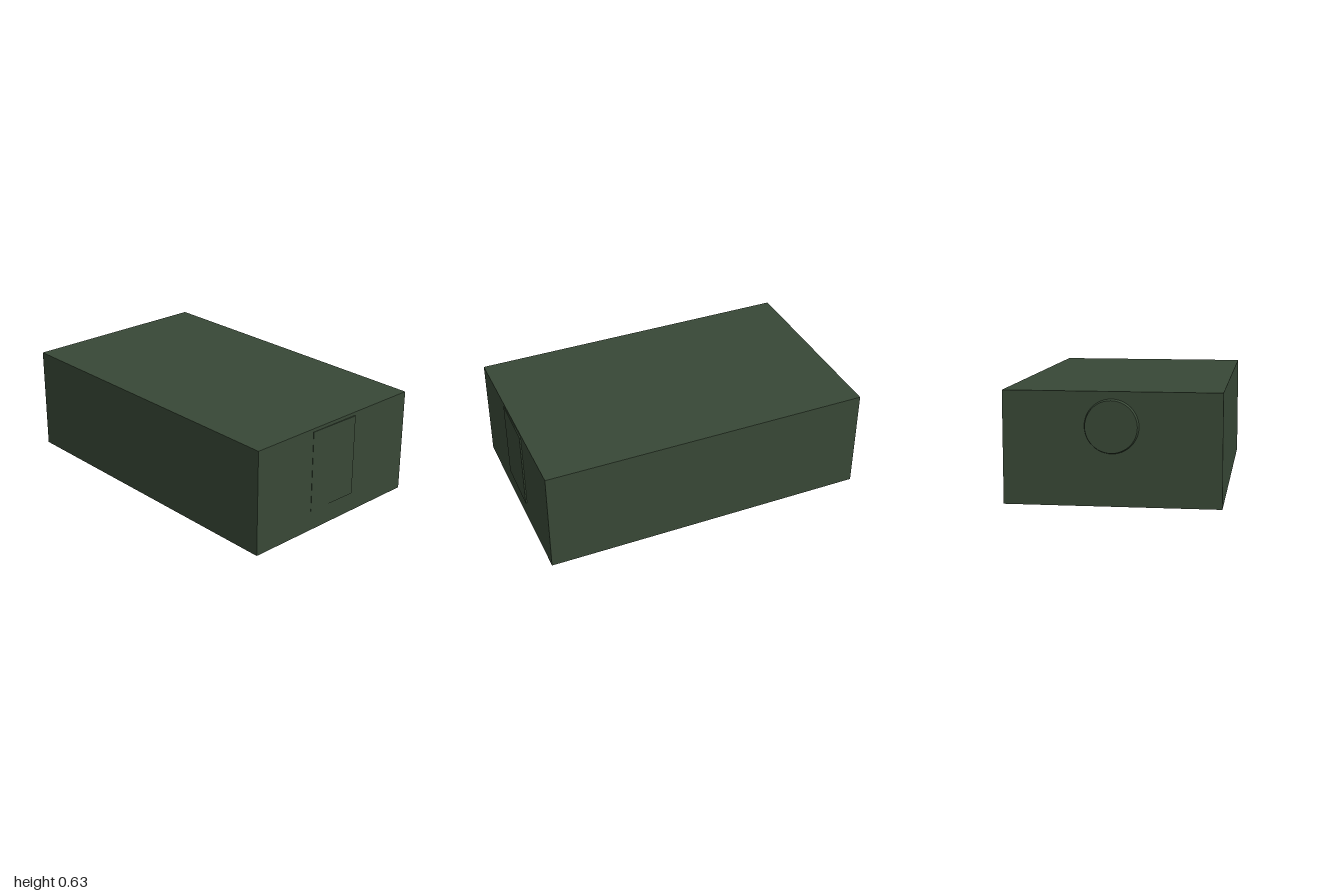
import * as THREE from 'three';

export function createModel() {
  const model = new THREE.Group();
  const green = new THREE.MeshStandardMaterial({ color: 0x384836, side: THREE.DoubleSide });
  green.name = 'dark green';

  const add = (name, geometry, x, y, z) => {
    const mesh = new THREE.Mesh(geometry, green);
    mesh.name = name;
    mesh.position.set(x, y, z);
    model.add(mesh);
    return mesh;
  };

  // Thin-walled housing, open underneath
  const x0 = -0.977, x1 = 0.992, height = 0.63, depth = 1.2;
  const width = x1 - x0, midX = (x0 + x1) / 2;
  add('top', new THREE.PlaneGeometry(width, depth), midX, height, 0).rotation.x = -Math.PI / 2;
  for (const side of [1, -1]) {
    const longWall = add(side > 0 ? 'frontWall' : 'backWall',
      new THREE.PlaneGeometry(width, height), midX, height / 2, side * depth / 2);
    longWall.rotation.y = side > 0 ? 0 : Math.PI;
    const endWall = add(side > 0 ? 'leftWall' : 'rightWall',
      new THREE.PlaneGeometry(depth, height), side > 0 ? x1 : x0, height / 2, 0);
    endWall.rotation.y = side * Math.PI / 2;
  }

  // Round, slightly tapered boss on one end
  const boss = add('roundBoss', new THREE.CylinderGeometry(0.143, 0.15, 0.025, 48), -0.9875, 0.44, 0);
  boss.rotation.z = Math.PI / 2;

  // Shallow door plate on the other end, sloping down towards the front
  const plate = new THREE.BoxGeometry(0.008, 0.49, 0.335);
  const p = plate.attributes.position;
  for (let i = 0; i < p.count; i++) {
    if (p.getX(i) > 0 && p.getZ(i) > 0) p.setX(i, -0.002);
  }
  plate.computeVertexNormals();
  add('doorPlate', plate, 0.996, 0.365, 0.0125);

  return model;
}
